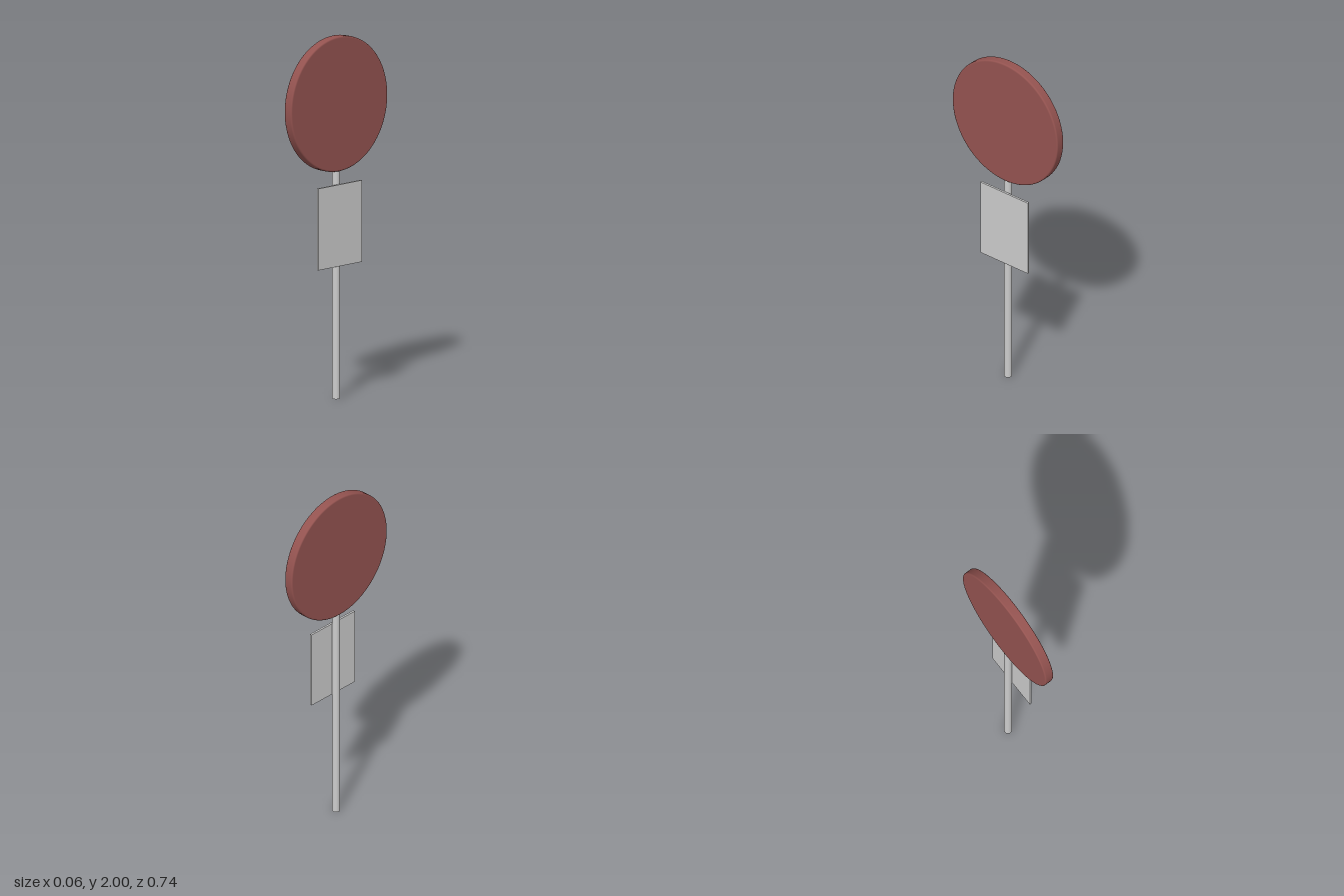
import * as THREE from 'three';

export function createModel() {
  const group = new THREE.Group();
  const grey = new THREE.MeshStandardMaterial({ color: 0xcccccc });
  const red = new THREE.MeshStandardMaterial({ color: 0x945350 });
  const axisX = -0.003;

  function add(name, geometry, material, x, y) {
    const mesh = new THREE.Mesh(geometry, material);
    mesh.name = name;
    mesh.position.set(x, y, 0);
    group.add(mesh);
    return mesh;
  }

  // Round sign disc: flat faces with a small rounded rim, turned to face sideways
  const radius = 0.372, half = 0.027, bevel = 0.008, steps = 4;
  const profile = [new THREE.Vector2(0, -half), new THREE.Vector2(radius - bevel - 0.003, -half)];
  for (const side of [-1, 1]) {
    for (let i = 0; i <= steps; i++) {
      const a = (side < 0 ? i - steps : i) / steps * Math.PI / 2;
      profile.push(new THREE.Vector2(
        radius - bevel + bevel * Math.cos(a),
        side * (half - bevel) + bevel * Math.sin(a)));
    }
  }
  profile.push(new THREE.Vector2(radius - bevel - 0.003, half), new THREE.Vector2(0, half));
  const disc = add('signDisc', new THREE.LatheGeometry(profile, 96), red, axisX, 2 - radius);
  disc.rotation.z = -Math.PI / 2;

  // Post, ending just inside the disc rim
  const postTop = 1.28;
  add('post', new THREE.CylinderGeometry(0.021, 0.021, postTop, 32), grey, axisX, postTop / 2);

  // Thin rectangular plate fixed to the +x side of the post
  add('infoPlate', new THREE.BoxGeometry(0.012, 0.45, 0.336), grey, 0.024, 0.96);

  return group;
}
